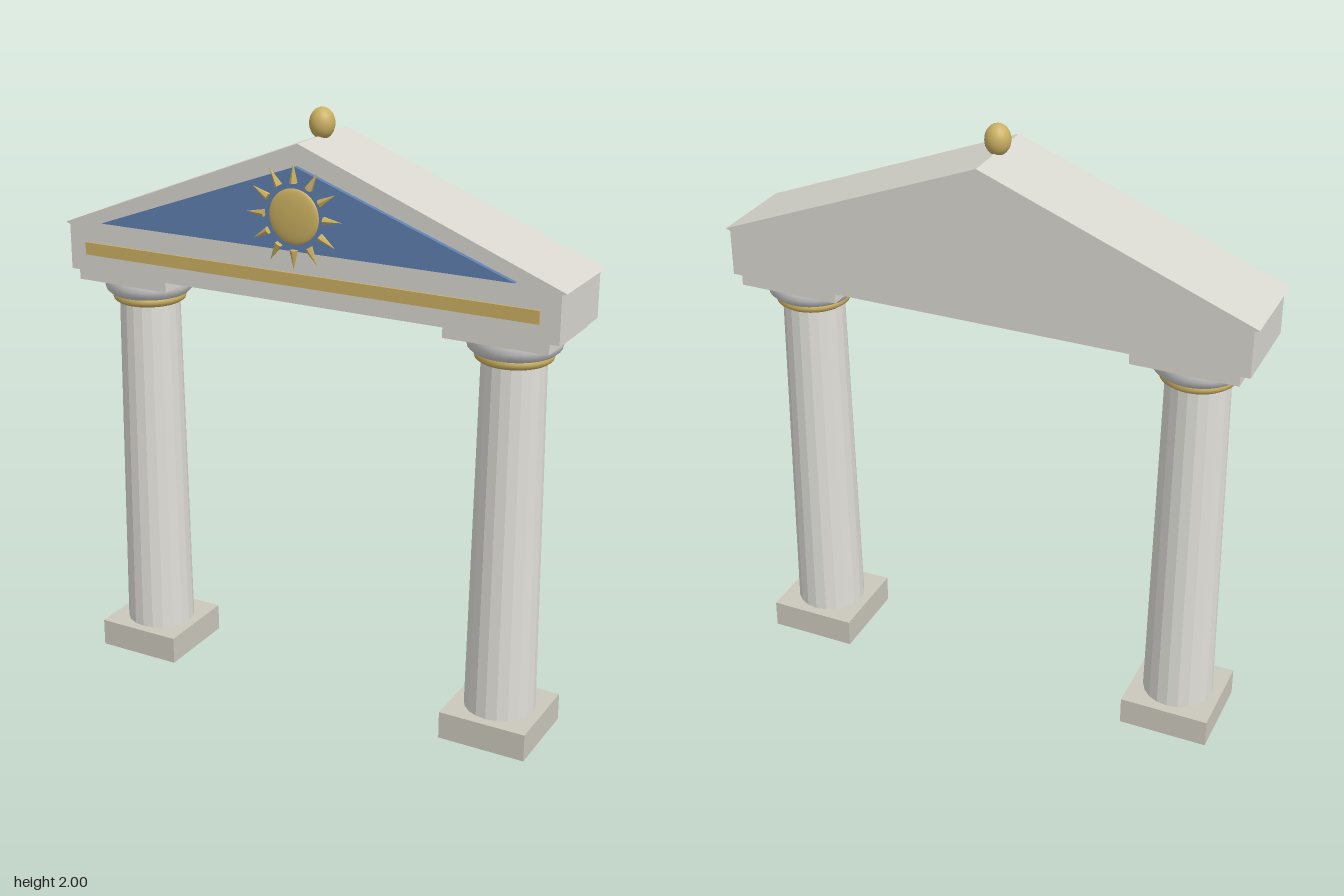
import * as THREE from 'three';

const mat = (color, flatShading = false) => new THREE.MeshStandardMaterial({ color, flatShading });
const stone = mat(0xd8d6cf);
const plinthStone = mat(0xcac7bb);
const shaftStone = mat(0xe0dfd8, true);
const capitalStone = mat(0xeeeeec);
const gold = mat(0xcbb061);
const goldFlat = mat(0xcbb061, true);
const blue = mat(0x5f7fae);

const CZ = -0.017;      // centre of the structure in depth
const DEPTH = 0.316;    // thickness of the pediment
const FRONT = CZ + DEPTH / 2;

function add(parent, name, geometry, material, x = 0, y = 0, z = 0) {
  const mesh = new THREE.Mesh(geometry, material);
  mesh.name = name;
  mesh.position.set(x, y, z);
  parent.add(mesh);
  return mesh;
}

// Extrudes an outline given as [x, y] pairs
function slab(points, depth) {
  const shape = new THREE.Shape(points.map(([x, y]) => new THREE.Vector2(x, y)));
  return new THREE.ExtrudeGeometry(shape, { depth, bevelEnabled: false });
}

function createColumn(name, x) {
  const column = new THREE.Group();
  column.name = name;
  column.position.set(x, 0, CZ);

  add(column, 'plinth', new THREE.BoxGeometry(0.3, 0.095, 0.3), plinthStone, 0, 0.0475);
  add(column, 'shaft', new THREE.CylinderGeometry(0.102, 0.118, 1.225, 20), shaftStone, 0, 0.7075);

  // Gold collar below the capital
  const collar = add(column, 'collar', new THREE.TorusGeometry(0.106, 0.019, 10, 32), gold, 0, 1.309);
  collar.rotation.x = Math.PI / 2;

  // Rounded cushion of the capital
  const profile = [[0, 1.312], [0.1, 1.312], [0.13, 1.32], [0.145, 1.333], [0.15, 1.35], [0.15, 1.365], [0.147, 1.378]];
  add(column, 'cushion', new THREE.LatheGeometry(profile.map(([r, y]) => new THREE.Vector2(r, y)), 32), capitalStone);

  add(column, 'abacus', new THREE.BoxGeometry(0.342, 0.034, DEPTH), stone, 0, 1.392);
  return column;
}

function createSun() {
  const sun = new THREE.Group();
  sun.name = 'sun';
  sun.position.set(0, 1.692, 0.163);

  const disc = add(sun, 'sunDisc', new THREE.SphereGeometry(0.088, 32, 16), gold);
  disc.scale.z = 0.15;

  // Twelve pointed rays around the disc
  for (let i = 0; i < 12; i++) {
    const a = (i / 12) * Math.PI * 2;
    const ray = add(sun, 'sunRay', new THREE.ConeGeometry(0.013, 0.062, 6), goldFlat,
      Math.cos(a) * 0.136, Math.sin(a) * 0.136, 0.002);
    ray.rotation.z = a - Math.PI / 2;
  }
  return sun;
}

export function createModel() {
  const model = new THREE.Group();
  model.name = 'templeGate';

  model.add(createColumn('leftColumn', 0.668), createColumn('rightColumn', -0.668));

  // Lintel and gabled roof in one block, with a slight eave overhang
  const gable = slab([
    [-0.87, 1.408], [0.87, 1.408], [0.87, 1.56], [0.886, 1.566],
    [0, 1.913], [-0.886, 1.566], [-0.87, 1.56],
  ], DEPTH);
  add(model, 'pediment', gable, stone, 0, 0, CZ - DEPTH / 2);

  // Front decoration
  add(model, 'goldBand', new THREE.BoxGeometry(1.612, 0.042, 0.02), gold, 0, 1.486, FRONT - 0.003);
  add(model, 'bluePanel', slab([[-0.73, 1.581], [0.73, 1.581], [0, 1.845]], 0.026), blue, 0, 0, FRONT - 0.01);
  model.add(createSun());

  // Egg-shaped ornament on the ridge
  const finial = add(model, 'finial', new THREE.SphereGeometry(0.041, 24, 16), gold, 0, 1.95, CZ);
  finial.scale.y = 0.05 / 0.041;

  return model;
}
